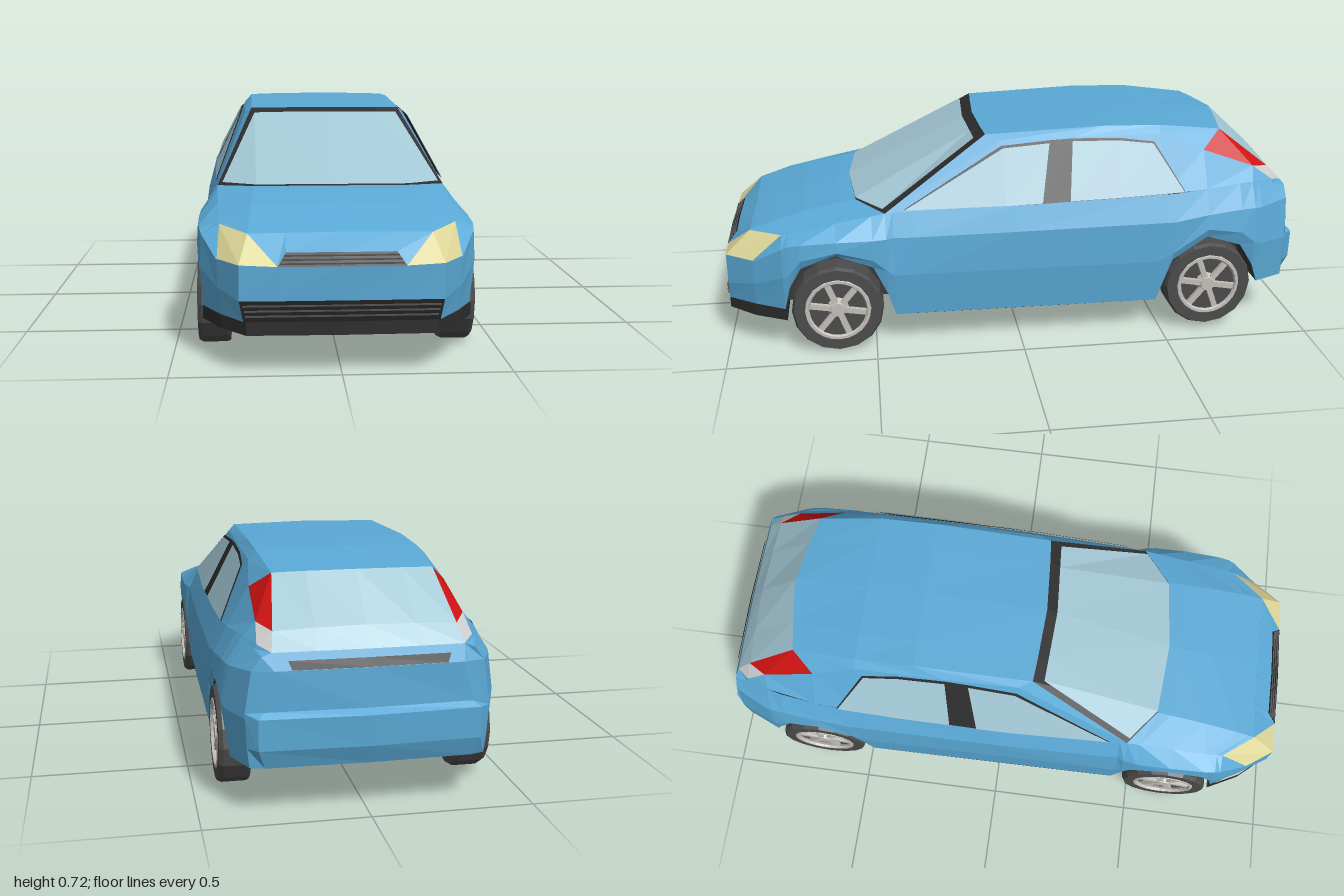
import * as THREE from 'three';

const BLUE = 0x5aa9d6, GLASS = 0xa2c6d4, BLACK = 0x2c2c2c, DARK = 0x1c1c1c;
const TYRE = 0x4b4b4b, ALLOY = 0xc4c0ba, LAMP = 0xddd699, RED = 0xcc1111;

const paint = (color) => new THREE.MeshStandardMaterial({ color, flatShading: true, side: THREE.DoubleSide });
const flip = (p, s) => [p[0] * s, p[1], p[2]];
// Completes a row running from the outer edge to the centre line
const full = (half) => [...half, ...half.slice(0, -1).reverse().map((p) => flip(p, -1))];
const { lerp, clamp } = THREE.MathUtils;

// Skin between rows of points; every triangle is turned to face away from the car's core
function skin(name, color, rows) {
  const out = [];
  const V = (p) => new THREE.Vector3(...p);
  const tri = (a, b, c) => {
    const [A, B, C] = [V(a), V(b), V(c)];
    const n = B.clone().sub(A).cross(C.clone().sub(A));
    if (n.length() < 1e-9) return;
    const mid = A.clone().add(B).add(C).divideScalar(3);
    const away = mid.clone().sub(new THREE.Vector3(0, 0.3, mid.z * 0.6));
    out.push(...a, ...(n.dot(away) < 0 ? [...c, ...b] : [...b, ...c]));
  };
  for (let i = 0; i < rows.length - 1; i++) {
    for (let j = 0; j < rows[i].length - 1; j++) {
      const a = rows[i][j], b = rows[i][j + 1], c = rows[i + 1][j + 1], d = rows[i + 1][j];
      tri(a, b, c);
      tri(a, c, d);
    }
  }
  const g = new THREE.BufferGeometry();
  g.setAttribute('position', new THREE.Float32BufferAttribute(out, 3));
  g.computeVertexNormals();
  const m = new THREE.Mesh(g, paint(color));
  m.name = name;
  return m;
}

// Side stations: z, bottom y (follows the arches), crease y/x, shoulder y/x, belt y/x
const STATIONS = [
  [0.993, 0.16, 0.22, 0.295, 0.32, 0.295, 0.325, 0.295],
  [0.9, 0.16, 0.24, 0.36, 0.32, 0.36, 0.325, 0.36],
  [0.8, 0.16, 0.28, 0.415, 0.38, 0.41, 0.41, 0.355],
  [0.78, 0.24, 0.29, 0.42, 0.39, 0.415, 0.413, 0.357],
  [0.74, 0.31, 0.34, 0.425, 0.395, 0.42, 0.421, 0.36],
  [0.62, 0.35, 0.365, 0.43, 0.4, 0.425, 0.445, 0.365],
  [0.5, 0.3, 0.33, 0.428, 0.4, 0.425, 0.467, 0.37],
  [0.455, 0.2, 0.29, 0.425, 0.4, 0.418, 0.475, 0.372],
  [0.43, 0.12, 0.27, 0.422, 0.4, 0.407, 0.478, 0.373],
  [0.36, 0.12, 0.27, 0.422, 0.4, 0.411, 0.48, 0.376],
  [0, 0.12, 0.27, 0.425, 0.405, 0.42, 0.49, 0.386],
  [-0.475, 0.12, 0.27, 0.43, 0.41, 0.423, 0.5, 0.386],
  [-0.53, 0.27, 0.3, 0.43, 0.41, 0.423, 0.5, 0.385],
  [-0.65, 0.35, 0.38, 0.43, 0.43, 0.42, 0.51, 0.38],
  [-0.77, 0.31, 0.36, 0.425, 0.44, 0.41, 0.52, 0.365],
  [-0.82, 0.23, 0.32, 0.42, 0.44, 0.403, 0.52, 0.353],
  [-0.845, 0.16, 0.31, 0.41, 0.44, 0.395, 0.515, 0.345],
  [-0.95, 0.16, 0.31, 0.365, 0.45, 0.345, 0.49, 0.315],
];
const sill = (s) => [s[3] - 0.012, s[1], s[0]];
const floorY = (z) => 0.12 + 0.04 * clamp((-z - 0.475) / 0.37, 0, 1);

// Point on the belt line at a given z
function belt(z) {
  const i = Math.max(1, STATIONS.findIndex((s) => s[0] <= z));
  const a = STATIONS[i - 1], b = STATIONS[i], t = (a[0] - z) / (a[0] - b[0]);
  return [lerp(a[7], b[7], t), lerp(a[6], b[6], t), z];
}
// Point on the sloping side of the cabin, pushed out a little
function cabin(z, y, push) {
  const [bx, by] = belt(z);
  return [lerp(bx, 0.291, (y - by) / (0.686 - by)) + push, y, z];
}

function wheel(name, side, y, z) {
  const g = new THREE.Group();
  g.name = name;
  const add = (part, geo, color, h = 0) => {
    const m = new THREE.Mesh(geo, paint(color));
    m.name = part;
    m.position.y = h;
    g.add(m);
  };
  const profile = [[0, 0], [0.15, 0], [0.154, 0.01], [0.154, 0.085], [0.147, 0.098], [0.112, 0.098], [0.106, 0.07], [0, 0.07]];
  add('tyre', new THREE.LatheGeometry(profile.map((p) => new THREE.Vector2(...p)), 16), TYRE);
  add('rim', new THREE.TorusGeometry(0.104, 0.009, 6, 24).rotateX(Math.PI / 2), ALLOY, 0.092);
  add('hub', new THREE.CylinderGeometry(0.024, 0.036, 0.025, 12), ALLOY, 0.084);
  for (let i = 0; i < 6; i++) {
    const spoke = new THREE.BoxGeometry(0.085, 0.014, 0.019).translate(0.06, 0, 0).rotateY((i * Math.PI) / 3 + 0.35);
    add('spoke', spoke, ALLOY, 0.085);
  }
  add('axle', new THREE.CylinderGeometry(0.014, 0.014, 0.1, 8), BLACK, -0.05);
  g.position.set(side * 0.328, y, z);
  g.rotation.z = (-side * Math.PI) / 2;
  return g;
}

export function createModel() {
  const car = new THREE.Group();
  car.name = 'car';
  const A = [0.25, 0.685, -0.72], B = [0.31, 0.63, -0.65], C = [0.315, 0.565, -0.83], D = [0.275, 0.55, -0.895];
  const G = [0.322, 0.515, -0.9], H = [0.285, 0.5, -0.945];
  const lampIn = [0.185, 0.32, 0.997], lampCorner = [0.295, 0.325, 0.993], lampTop = [0.27, 0.4, 0.91];
  const roofFront = [[0.262, 0.702, 0.105], [0.175, 0.703, 0.112], [0, 0.705, 0.122]];

  for (const s of [1, -1]) {
    const tag = s > 0 ? 'left' : 'right';
    const add = (part, color, rows) => car.add(skin(tag + part, color, rows.map((r) => r.map((p) => flip(p, s)))));

    // Lower body side with wheel arches
    add('BodySide', BLUE, STATIONS.map((t) => [sill(t), [t[3], t[2], t[0]], [t[5], t[4], t[0]], [t[7], t[6], t[0]]]));

    // Cabin side: belt, gutter, roof edge
    const base = belt(0.455);
    add('CabinSide', BLUE, [
      [base, base, base],
      [belt(0.1), [0.285, 0.685, 0.06], roofFront[0]],
      [belt(-0.2), [0.291, 0.688, -0.2], [0.266, 0.717, -0.3]],
      [belt(-0.5), [0.291, 0.685, -0.5], [0.265, 0.712, -0.5]],
      [belt(-0.65), B, A],
    ]);
    add('RearPillar', BLUE, [[belt(-0.65), B], [belt(-0.82), C], [belt(-0.9), G], [belt(-0.95), H]]);

    // Side windows over one dark frame
    const strip = (part, color, push, st) =>
      add(part, color, st.map(([zb, yb, zt, yt]) => [cabin(zb, yb, push), cabin(zt, yt, push)]));
    strip('WindowFrame', BLACK, 0.005, [
      [0.395, 0.485, 0.375, 0.495], [0.05, 0.488, 0.055, 0.672], [-0.075, 0.49, -0.11, 0.683],
      [-0.17, 0.493, -0.19, 0.686], [-0.35, 0.497, -0.35, 0.682], [-0.572, 0.505, -0.474, 0.666]]);
    strip('FrontWindow', GLASS, 0.008, [
      [0.39, 0.486, 0.365, 0.497], [0.05, 0.489, 0.05, 0.665], [-0.075, 0.492, -0.11, 0.675]]);
    strip('RearWindow', GLASS, 0.008, [
      [-0.17, 0.495, -0.19, 0.678], [-0.35, 0.499, -0.35, 0.675], [-0.567, 0.507, -0.47, 0.661]]);

    // Lamps
    add('Headlamp', LAMP, [[lampIn, lampCorner, [0.36, 0.325, 0.9]], [lampTop, lampTop, [0.355, 0.41, 0.8]]]);
    add('TailLamp', RED, [[A, B], [D, C]]);
    add('Reflector', 0xcccccc, [[D, C], [H, G]]);

    // Wheel wells
    for (const [part, from, to] of [['FrontWell', 2, 9], ['RearWell', 11, 17]]) {
      const arch = STATIONS.slice(from, to).map(sill);
      arch.unshift([arch[0][0], 0.12, arch[0][2]]);
      add(part, 0x383838, arch.map(([x, y, z]) => [[x, y, z], [0.25, y, z], [0.25, floorY(z), z]]));
    }
    car.add(wheel(tag + 'FrontWheel', s, 0.155, 0.625), wheel(tag + 'RearWheel', s, 0.17, -0.66));
  }

  const add = (name, color, rows) => car.add(skin(name, color, rows.map(full)));
  const bar = (name, w, y, z) => {
    const m = new THREE.Mesh(new THREE.BoxGeometry(w, 0.004, 0.01), paint(0x505050));
    m.name = name;
    m.position.set(0, y, z);
    car.add(m);
  };

  // Hood, nose and front bumper
  const cowl = [belt(0.455), [0.25, 0.485, 0.55], [0, 0.488, 0.57]];
  add('hood', BLUE, [0.455, 0.5, 0.62, 0.74, 0.78, 0.8].map((z) => {
    const t = (z - 0.455) / 0.345, rise = 0.048 * t * (1 - t);
    return [belt(z),
      [lerp(0.25, 0.27, t), lerp(0.485, 0.4, t) + rise, lerp(0.55, 0.91, t)],
      [0, lerp(0.488, 0.402, t) + rise, lerp(0.57, 0.905, t)]];
  }));
  add('nose', BLUE, [[lampTop, [0.16, 0.401, 0.908], [0, 0.402, 0.905]], [lampIn, [0.16, 0.355, 0.965], [0, 0.355, 0.968]]]);
  add('upperGrille', DARK, [[[0.16, 0.355, 0.965], [0, 0.355, 0.968]], [lampIn, [0, 0.32, 1]]]);
  add('frontBumper', BLUE, [[lampCorner, lampIn, [0, 0.32, 1]], [[0.295, 0.22, 0.993], [0.18, 0.22, 0.995], [0, 0.22, 0.996]]]);
  add('lowerGrille', DARK, [[[0.295, 0.22, 0.993], [0, 0.22, 0.996]], [[0.283, 0.16, 0.993], [0, 0.16, 0.996]]]);
  for (let i = 0; i < 3; i++) {
    bar('upperGrilleBar', 0.33 + i * 0.012, 0.347 - i * 0.01, 0.972 + i * 0.009);
    bar('lowerGrilleBar', 0.57 - i * 0.008, 0.206 - i * 0.015, 0.995);
  }
  add('bumperLip', BLACK, [0.16, 0.12].map((y) => [[0.408, y, 0.795], [0.352, y, 0.905], [0.275, y, 0.995], [0, y, 1]]));

  // Windshield and roof
  add('windshieldFrame', BLACK, [cowl, roofFront]);
  add('windshield', GLASS, [
    [[0.356, 0.486, 0.462], [0.245, 0.49, 0.55], [0, 0.493, 0.571]],
    [[0.251, 0.688, 0.143], [0.17, 0.69, 0.148], [0, 0.692, 0.158]]]);
  add('roof', BLUE, [
    roofFront,
    [[0.266, 0.717, -0.3], [0.175, 0.718, -0.3], [0, 0.719, -0.3]],
    [[0.265, 0.712, -0.5], [0.175, 0.715, -0.5], [0, 0.717, -0.5]],
    [A, [0.15, 0.69, -0.738], [0, 0.695, -0.76]]]);

  // Tailgate and rear bumper
  add('rearGlass', GLASS, [[A, [0.15, 0.69, -0.738], [0, 0.695, -0.76]],
    [D, [0.15, 0.556, -0.9], [0, 0.56, -0.905]], [H, [0.15, 0.5, -0.948], [0, 0.5, -0.95]]]);
  add('tailgate', BLUE, [
    [[0.315, 0.49, -0.95], H, [0, 0.5, -0.95]],
    [[0.345, 0.45, -0.95], [0.28, 0.45, -0.965], [0, 0.45, -0.97]],
    [[0.365, 0.325, -0.95], [0.31, 0.33, -0.965], [0, 0.33, -0.975]]]);
  add('tailgateHandle', DARK, [[[0.24, 0.478, -0.96], [0, 0.478, -0.963]], [[0.23, 0.452, -0.97], [0, 0.452, -0.974]]]);
  add('rearBumper', BLUE, [
    [[0.365, 0.325, -0.95], [0.31, 0.33, -0.965], [0, 0.33, -0.975]],
    [[0.365, 0.31, -0.95], [0.33, 0.315, -0.985], [0, 0.315, -1]],
    [[0.36, 0.22, -0.95], [0.33, 0.22, -0.983], [0, 0.22, -0.995]],
    [[0.353, 0.16, -0.95], [0.31, 0.16, -0.963], [0, 0.16, -0.97]]]);

  // Floor with wheel cut-outs, rising towards the tail
  const half = [[0.275, 0.995], [0.405, 0.795], [0.25, 0.795], [0.25, 0.43], [0.41, 0.43], [0.418, -0.475],
    [0.25, -0.475], [0.25, -0.845], [0.398, -0.845], [0.353, -0.95], [0.31, -0.963]];
  const outline = [...half, ...half.map(([x, z]) => [-x, z]).reverse()].map((p) => new THREE.Vector2(...p));
  const floorGeo = new THREE.ShapeGeometry(new THREE.Shape(outline)).rotateX(Math.PI / 2);
  const pos = floorGeo.attributes.position;
  for (let i = 0; i < pos.count; i++) pos.setY(i, floorY(pos.getZ(i)));
  floorGeo.computeVertexNormals();
  const floor = new THREE.Mesh(floorGeo, paint(DARK));
  floor.name = 'floor';
  car.add(floor);
  return car;
}
